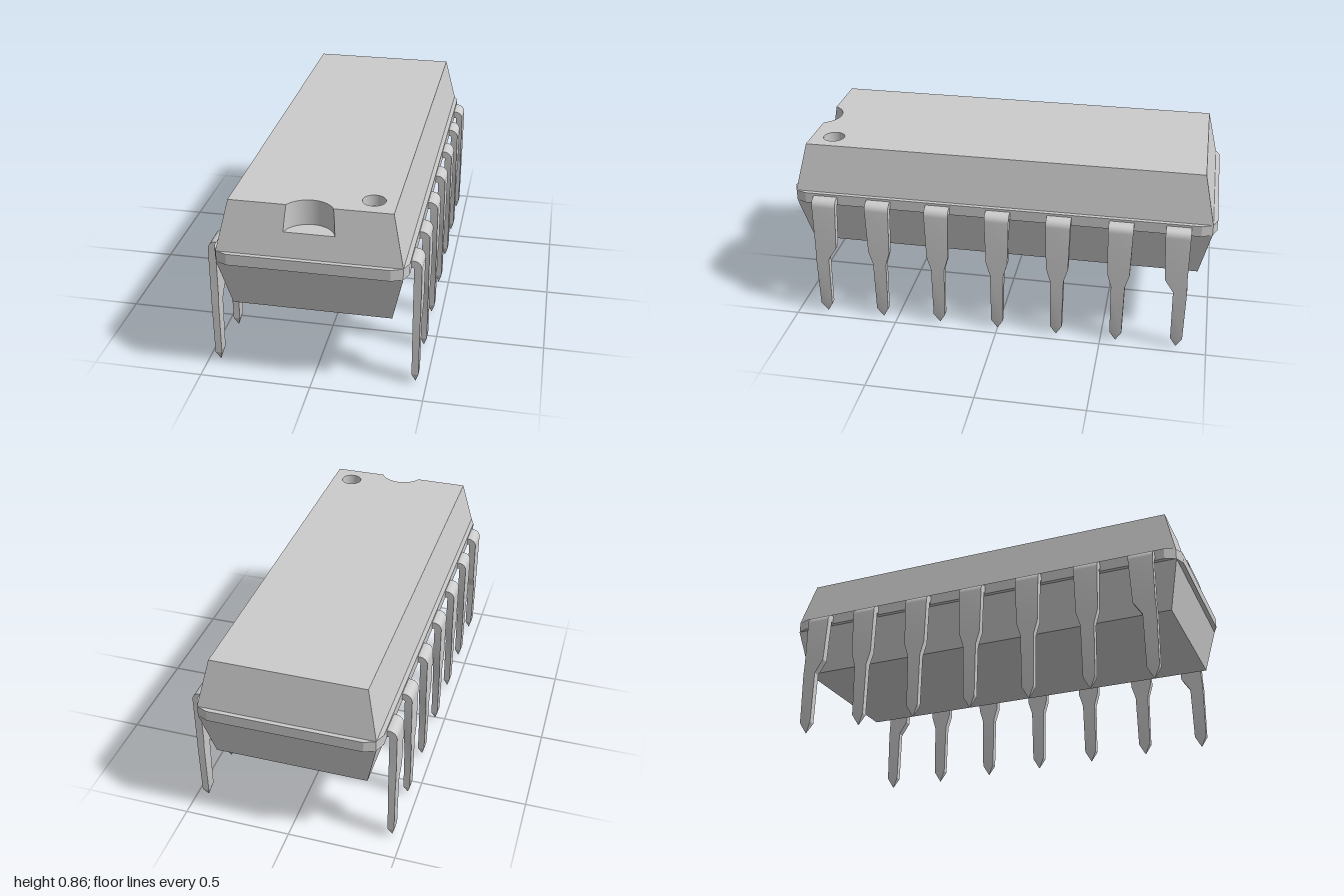
import * as THREE from 'three';
import { toCreasedNormals } from 'three/addons/utils/BufferGeometryUtils.js';

const grey = new THREE.MeshStandardMaterial({ color: 0xcccccc });
const greyBoth = new THREE.MeshStandardMaterial({ color: 0xcccccc, side: THREE.DoubleSide });

const TOP = 0.86, SEAM_TOP = 0.637, SEAM_LOW = 0.585, BOTTOM = 0.36;
const WIDE = [0.4, 0.98], NARROW = [0.35, 0.93]; // half sizes at the seam and at the flat faces

function add(parent, name, geometry, material = grey) {
  const mesh = new THREE.Mesh(geometry, material);
  mesh.name = name;
  parent.add(mesh);
  return mesh;
}

// Surface through equal-length rows of points
function loft(rows, closed = false) {
  const n = rows[0].length, index = [];
  for (let i = 0; i < rows.length - 1; i++) {
    for (let j = 0; j < (closed ? n : n - 1); j++) {
      const a = i * n + j, b = i * n + (j + 1) % n;
      index.push(a, b, b + n, a, b + n, a + n);
    }
  }
  const g = new THREE.BufferGeometry();
  g.setAttribute('position', new THREE.Float32BufferAttribute(rows.flat(2), 3));
  g.setIndex(index);
  g.computeVertexNormals();
  return g;
}

const flat = (g) => {
  const f = g.toNonIndexed();
  f.computeVertexNormals();
  return f;
};
const shapeOf = (pts) => new THREE.Shape(pts.map(([x, y]) => new THREE.Vector2(x, y)));
// Horizontal upward face from [x, z] points
const level = (shape, y) => new THREE.ShapeGeometry(shape, 24).rotateX(-Math.PI / 2).translate(0, y, 0);

// Rectangle corners, counter-clockwise seen from above, starting front right
const ring = ([x, z], y) => [[x, y, z], [x, y, -z], [-x, y, -z], [-x, y, z]];

function buildBody() {
  const body = new THREE.Group();
  body.name = 'body';

  // Lower half
  add(body, 'lowerSides', flat(loft([ring(NARROW, BOTTOM), ring(WIDE, SEAM_LOW)], true)));
  add(body, 'underside', new THREE.PlaneGeometry(2 * NARROW[0], 2 * NARROW[1])
    .rotateX(Math.PI / 2).translate(0, BOTTOM, 0));

  // Seam flange with two-facet corners
  const r = 0.07, fx = 0.42, fz = 1;
  const outline = [];
  [[1, 1, 0], [-1, 1, 1], [-1, -1, 2], [1, -1, 3]].forEach(([sx, sz, q]) => {
    for (let k = 0; k <= 2; k++) {
      const a = (q + k / 2) * Math.PI / 2;
      outline.push([sx * (fx - r) + r * Math.cos(a), sz * (fz - r) + r * Math.sin(a)]);
    }
  });
  add(body, 'seamFlange', new THREE.ExtrudeGeometry(shapeOf(outline),
    { depth: SEAM_TOP - SEAM_LOW, bevelEnabled: false }).rotateX(-Math.PI / 2).translate(0, SEAM_LOW, 0));

  // Upper half: right, back and left sides
  add(body, 'upperSides', flat(loft([ring(WIDE, SEAM_TOP), ring(NARROW, TOP)])));

  // Half-round notch cut into the sloping front
  const frontZ = (y) => WIDE[1] - (WIDE[1] - NARROW[1]) * (y - SEAM_TOP) / (TOP - SEAM_TOP);
  const notchR = 0.113, notchZ = 0.983, floorY = 0.745;
  const notchRow = (y) => {
    const half = Math.acos((notchZ - frontZ(y)) / notchR);
    return Array.from({ length: 21 }, (_, i) => {
      const a = half * (i / 10 - 1);
      return [notchR * Math.sin(a), y, notchZ - notchR * Math.cos(a)];
    });
  };
  const wallRows = Array.from({ length: 5 }, (_, i) => notchRow(floorY + (TOP - floorY) * i / 4));
  const low = wallRows[0], high = wallRows[4];
  add(body, 'notchWall', loft(wallRows), greyBoth);
  add(body, 'notchFloor', level(shapeOf(low.map(([x, , z]) => [x, -z])), floorY));

  // Sloping front around the notch
  const right = wallRows.map((row) => [row[20][0], row[20][1]]).reverse();
  const left = wallRows.map((row) => [row[0][0], row[0][1]]);
  const front = new THREE.ShapeGeometry(shapeOf([
    [-WIDE[0], SEAM_TOP], [WIDE[0], SEAM_TOP], [NARROW[0], TOP],
    ...right, ...left, [-NARROW[0], TOP]]));
  const p = front.attributes.position;
  for (let i = 0; i < p.count; i++) p.setZ(i, frontZ(p.getY(i)));
  front.computeVertexNormals();
  add(body, 'upperFront', front);

  // Top face with notch and round marker recess
  const [nx, nz] = NARROW, dot = [0.25, 0.825], dotR = 0.05, dotDepth = 0.05;
  const topShape = shapeOf([[-nx, -nz], ...high.map(([x, , z]) => [x, -z]), [nx, -nz], [nx, nz], [-nx, nz]]);
  topShape.holes.push(new THREE.Path().absarc(dot[0], -dot[1], dotR, 0, Math.PI * 2, true));
  add(body, 'topFace', level(topShape, TOP));
  add(body, 'markerWall', new THREE.CylinderGeometry(dotR, dotR, dotDepth, 48, 1, true)
    .translate(dot[0], TOP - dotDepth / 2, dot[1]), greyBoth);
  add(body, 'markerFloor', new THREE.CircleGeometry(dotR, 48)
    .rotateX(-Math.PI / 2).translate(dot[0], TOP - dotDepth, dot[1]));
  return body;
}

// Bent pin on the +x side; zLo/zHi bound the shoulder, tipZ centres the narrow leg
function pinGeometry(zLo, zHi, tipZ) {
  const rows = [];
  const section = (inner, outer, a, b) => rows.push([
    [...inner, a], [...inner, b], [...outer, b], [...outer, a]]);
  // Horizontal root, then the bend
  section([0.39, 0.592], [0.39, 0.626], zLo, zHi);
  const cx = 0.428, cy = 0.588;
  for (let i = 0; i <= 8; i++) {
    const a = Math.PI / 2 * (1 - i / 8), c = Math.cos(a), s = Math.sin(a);
    section([cx + 0.004 * c, cy + 0.004 * s], [cx + 0.038 * c, cy + 0.038 * s], zLo, zHi);
  }
  // Shoulder, taper, leg and point
  const w = 0.028, mix = THREE.MathUtils.lerp;
  const legLo = tipZ - w, legHi = tipZ + w;
  section([0.432, 0.37], [0.466, 0.37], mix(zLo, legLo, 0.2), mix(zHi, legHi, 0.2));
  section([0.433, 0.305], [0.465, 0.305], legLo - 0.004, legHi + 0.004);
  section([0.434, 0.05], [0.464, 0.05], legLo, legHi);
  section([0.448, 0], [0.45, 0], tipZ - 0.001, tipZ + 0.001);
  return toCreasedNormals(loft(rows, true), 0.28);
}

export function createModel() {
  const model = new THREE.Group();
  model.name = 'chipPackage';
  model.add(buildBody());

  // Seven pins a side; the end pins have an offset shoulder
  for (let i = -3; i <= 3; i++) {
    const tipZ = i * 0.286;
    const shoulder = Math.abs(i) === 3 ? Math.sign(i) * 0.83 : tipZ;
    const g = pinGeometry(shoulder - 0.057, shoulder + 0.057, tipZ);
    add(model, `leftPin${i + 4}`, g, greyBoth);
    add(model, `rightPin${4 - i}`, g, greyBoth).rotation.y = Math.PI;
  }
  return model;
}
